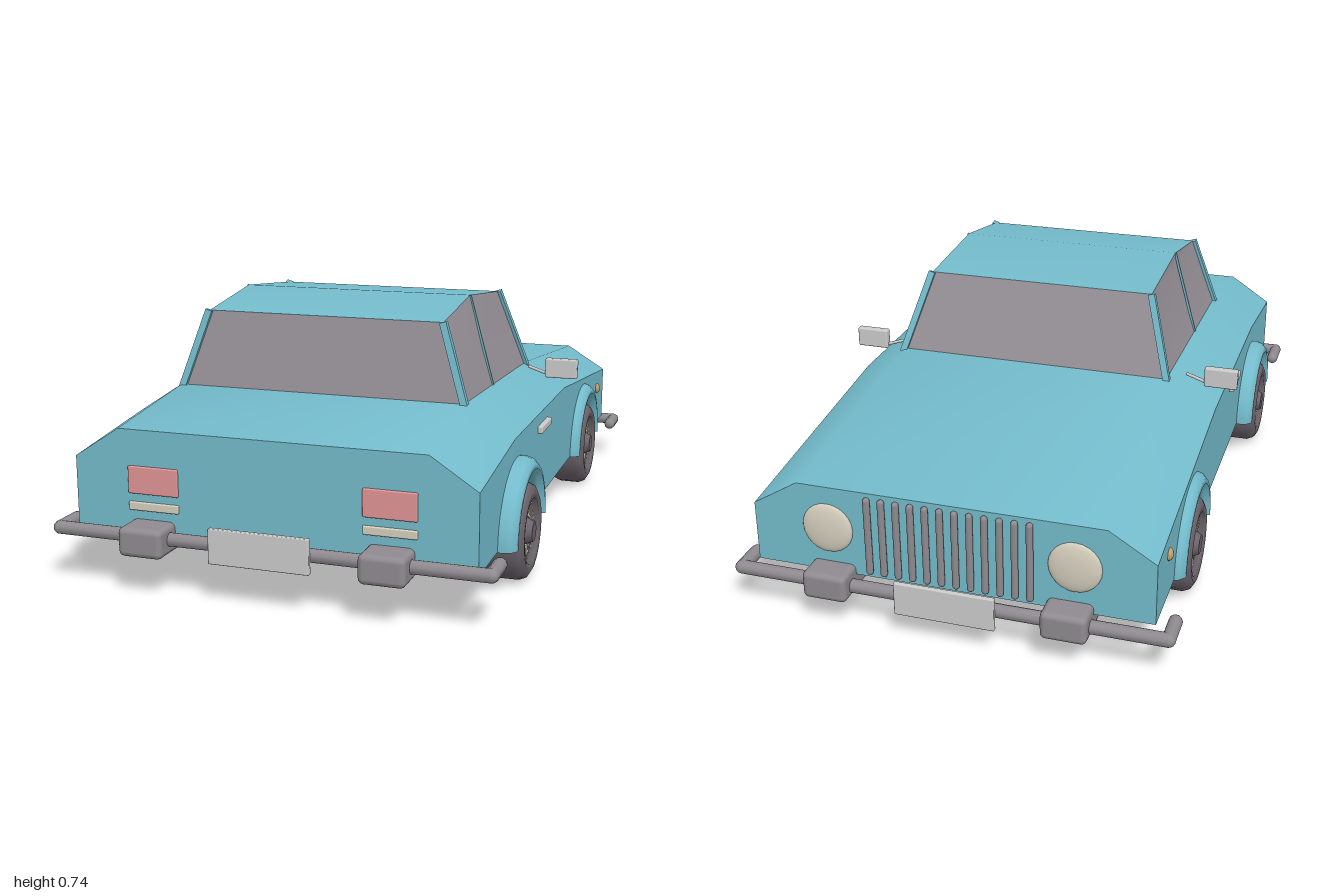
import * as THREE from 'three';
import { toCreasedNormals } from 'three/addons/utils/BufferGeometryUtils.js';
import { RoundedBoxGeometry } from 'three/addons/geometries/RoundedBoxGeometry.js';

const mat = (color, side = THREE.FrontSide) => new THREE.MeshStandardMaterial({ color, side });
const paint = mat(0x74bccc);
const paintOpen = mat(0x74bccc, THREE.DoubleSide);
const glass = mat(0x99929a, THREE.DoubleSide);
const rubber = mat(0x6b646b);
const steel = mat(0x8f8b90);
const grey = mat(0xcccccc);
const cream = mat(0xd6d0be);
const amber = mat(0xc0a070);
const red = mat(0xe09494);

const V = (x, y, z) => new THREE.Vector3(x, y, z);

function add(parent, name, geometry, material, x = 0, y = 0, z = 0) {
  const m = new THREE.Mesh(geometry, material);
  m.name = name;
  m.position.set(x, y, z);
  parent.add(m);
  return m;
}

// Box with slightly softened edges
const block = (parent, name, material, w, h, d, x, y, z) =>
  add(parent, name, new RoundedBoxGeometry(w, h, d, 2, Math.min(w, h, d) * 0.2), material, x, y, z);

// Stretch a y-aligned mesh direction from a to b
function span(mesh, a, b) {
  mesh.position.copy(a).add(b).multiplyScalar(0.5);
  mesh.quaternion.setFromUnitVectors(V(0, 1, 0), b.clone().sub(a).normalize());
}

// Round-ended bar between two points
const bar = (parent, name, material, a, b, r) =>
  span(add(parent, name, new THREE.CapsuleGeometry(r, a.distanceTo(b), 4, 10), material), a, b);

// Square post between two points
const post = (parent, name, a, b, t) =>
  span(add(parent, name, new THREE.BoxGeometry(t, a.distanceTo(b), t), paint), a, b);

// Flat polygons, each filled as a fan, smoothed across gentle bends
function panels(parent, name, material, ...polygons) {
  const pos = [];
  for (const points of polygons)
    for (let i = 1; i < points.length - 1; i++)
      for (const p of [points[0], points[i], points[i + 1]]) pos.push(p.x, p.y, p.z);
  const g = new THREE.BufferGeometry();
  g.setAttribute('position', new THREE.Float32BufferAttribute(pos, 3));
  add(parent, name, toCreasedNormals(g, 0.7), material);
}

// Lower body lofted along z through [z, shoulder height, top height]
function body(parent) {
  const stations = [[-0.92, 0.315, 0.395], [-0.15, 0.4, 0.475], [0.53, 0.4, 0.485], [0.91, 0.355, 0.44]];
  const rings = stations.map(([z, s, t]) =>
    [[0.56, 0.14], [0.56, s], [0.43, t], [-0.43, t], [-0.56, s], [-0.56, 0.14]].map(([x, y]) => V(x, y, z)));
  const faces = [[...rings[0]].reverse(), rings[rings.length - 1]];
  for (let i = 0; i < rings.length - 1; i++)
    rings[i].forEach((p, j) => {
      const k = (j + 1) % rings[i].length;
      faces.push([p, rings[i][k], rings[i + 1][k], rings[i + 1][j]]);
    });
  panels(parent, 'body', paint, ...faces);
}

// Cabin: windows, pillars and a peaked roof
function cabin(parent) {
  const c = new THREE.Group();
  c.name = 'cabin';
  parent.add(c);
  const base = {
    R: [V(-0.425, 0.475, 0.535), V(-0.41, 0.465, -0.15)],
    L: [V(0.42, 0.475, 0.535), V(0.435, 0.465, -0.15)],
  };
  const roof = {
    R: [V(-0.35, 0.7, 0.5), V(-0.343, 0.74, 0.24), V(-0.338, 0.71, -0.07)],
    L: [V(0.347, 0.7, 0.5), V(0.352, 0.74, 0.24), V(0.36, 0.71, -0.07)],
  };
  panels(c, 'tailWindow', glass, [base.R[0], base.L[0], roof.L[0], roof.R[0]]);
  panels(c, 'windscreen', glass, [base.L[1], base.R[1], roof.R[2], roof.L[2]]);
  for (const s of ['L', 'R']) {
    const [b0, b1] = base[s], [r0, r1, r2] = roof[s];
    const ring = [b0, b1, r2, r1, r0];
    panels(c, 'sideWindow', glass, s === 'L' ? ring : ring.reverse());
    post(c, 'tailPillar', b0, r0, 0.02);
    post(c, 'windscreenPillar', b1, r2, 0.02);
    post(c, 'doorPillar', b0.clone().lerp(b1, 0.43), r1, 0.007);
  }
  panels(c, 'roof', paintOpen, ...[0, 1].map(i => [roof.R[i], roof.L[i], roof.L[i + 1], roof.R[i + 1]]));
}

// Wheel with spokes and arch; local +y of the lathes points outward along x
function wheel(parent, side, z, outer) {
  const g = new THREE.Group();
  g.name = 'wheel';
  g.position.set(side * outer, 0.138, z);
  if (side < 0) g.rotation.y = Math.PI;
  parent.add(g);
  const axle = new THREE.Group();
  axle.name = 'axle';
  axle.rotation.z = -Math.PI / 2;
  g.add(axle);
  const lathe = (pts, n, ...arc) => new THREE.LatheGeometry(pts.map(p => new THREE.Vector2(...p)), n, ...arc);
  add(axle, 'tyre', lathe([[0, -0.12], [0.11, -0.12], [0.128, -0.112], [0.137, -0.09], [0.137, -0.03],
    [0.128, -0.01], [0.11, 0], [0.092, -0.003], [0.086, -0.025], [0, -0.025]], 18), rubber);
  add(axle, 'hub', new THREE.CylinderGeometry(0.028, 0.042, 0.03, 12), rubber, 0, -0.012, 0);
  for (let i = 0; i < 36; i++) {
    const a = i / 36 * Math.PI * 2;
    const spoke = new THREE.BoxGeometry(0.046, 0.006, 0.007);
    add(axle, 'spoke', spoke, cream, Math.cos(a) * 0.063, -0.021, Math.sin(a) * 0.063).rotation.y = -a;
  }
  add(axle, 'wheelArch', lathe([[0.205, -0.12], [0.205, -0.035], [0.2, -0.018], [0.185, -0.004],
    [0.172, -0.002], [0.165, -0.02], [0.152, -0.025], [0.148, -0.12]], 20, Math.PI, Math.PI), paintOpen);
}

// Bumper with wrapped ends, overriders and a blank plate; dir is the z side
function bumper(parent, dir, y, z, overriderY) {
  const b = new THREE.Group();
  b.name = dir > 0 ? 'tailBumper' : 'noseBumper';
  parent.add(b);
  bar(b, 'bumperBar', steel, V(-0.6, y, z), V(0.6, y, z), 0.019);
  for (const s of [-1, 1]) {
    bar(b, 'bumperEnd', steel, V(s * 0.6, y, z), V(s * 0.6, y, z - dir * 0.085), 0.019);
    block(b, 'overrider', steel, 0.126, 0.08, 0.16, s * 0.333, overriderY, dir * 0.918);
  }
  block(b, 'plate', grey, 0.28, 0.096, 0.015, -0.005, y + 0.005, z + dir * 0.028);
}

export function createModel() {
  const car = new THREE.Group();
  car.name = 'car';
  body(car);
  cabin(car);
  bumper(car, 1, 0.158, 0.94, 0.155);
  bumper(car, -1, 0.122, -0.95, 0.129);

  for (const s of [-1, 1]) {
    wheel(car, s, 0.51, 0.61);
    wheel(car, s, -0.495, 0.59);
    // Tail lamps
    block(car, 'tailLamp', red, 0.146, 0.076, 0.02, s * 0.33, 0.303, 0.906);
    block(car, 'reversingLamp', cream, 0.146, 0.024, 0.02, s * 0.33, 0.231, 0.906);
    // Domed headlamp
    add(car, 'headlamp', new THREE.SphereGeometry(0.073, 20, 12), cream, s * 0.345, 0.272, -0.92).scale.z = 0.2;
    // Side marker, door handle and mirror
    add(car, 'sideMarker', new THREE.SphereGeometry(0.018, 12, 8), amber, s * 0.56, 0.27, -0.783).scale.x = 0.7;
    block(car, 'doorHandle', grey, 0.022, 0.022, 0.135, s * 0.563, 0.354, 0.17);
    block(car, 'mirror', grey, 0.1, 0.06, 0.025, s * 0.562, 0.475, -0.09);
    bar(car, 'mirrorArm', grey, V(s * 0.46, 0.475, -0.09), V(s * 0.52, 0.455, -0.09), 0.005);
  }

  // Upright grille bars
  for (let i = 0; i < 12; i++) {
    const x = -0.225 + i * 0.041;
    bar(car, 'grilleBar', steel, V(x, 0.16, -0.925), V(x, 0.375, -0.925), 0.01);
  }
  return car;
}
